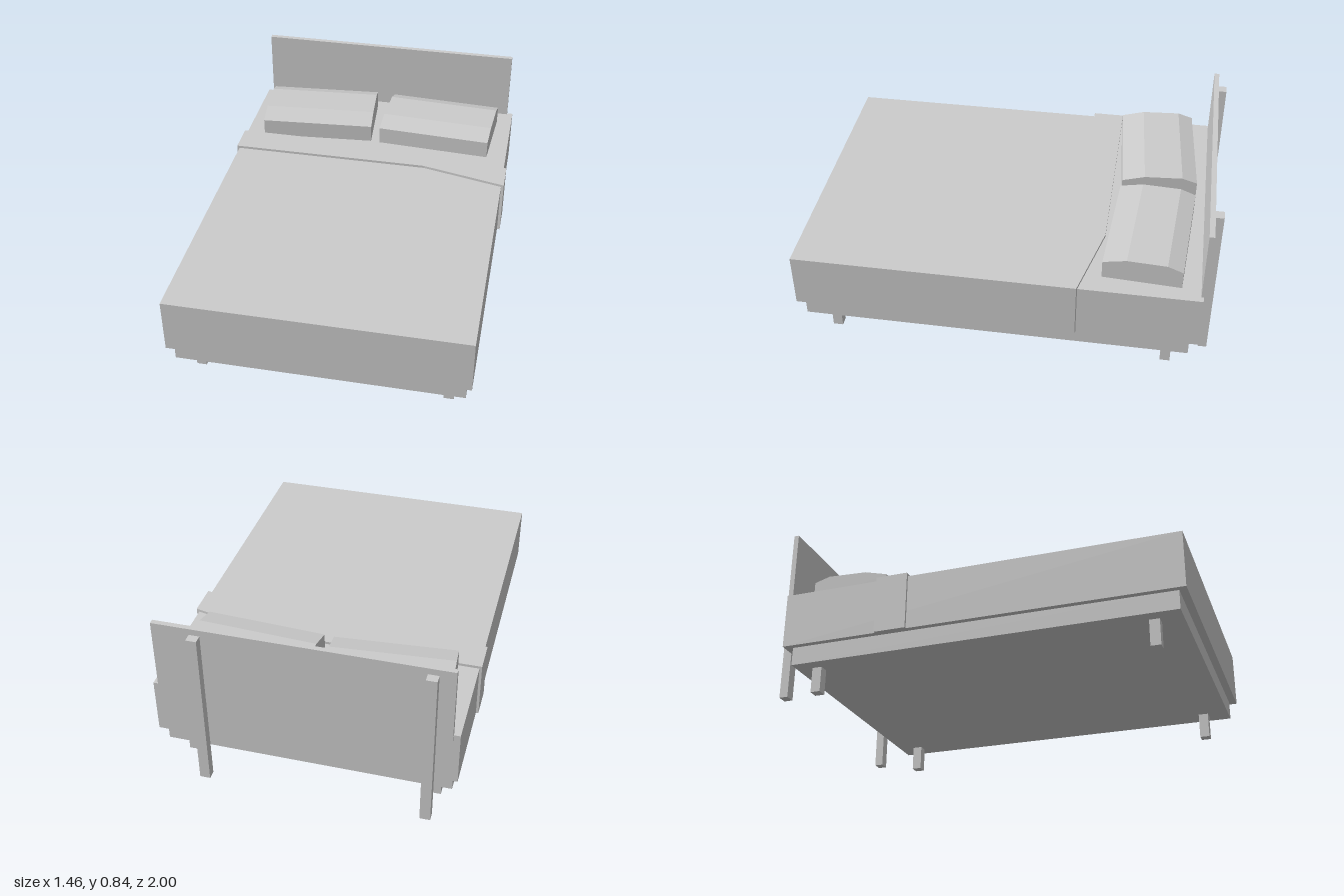
import * as THREE from 'three';

export function createModel() {
  const bed = new THREE.Group();
  bed.name = 'bed';
  const material = new THREE.MeshStandardMaterial({ color: 0xcccccc, flatShading: true });

  const add = (name, geometry) => {
    const mesh = new THREE.Mesh(geometry, material);
    mesh.name = name;
    bed.add(mesh);
    return mesh;
  };
  // Box given by its limits on each axis
  const addBox = (name, [x0, x1], [y0, y1], [z0, z1]) =>
    add(name, new THREE.BoxGeometry(x1 - x0, y1 - y0, z1 - z0))
      .position.set((x0 + x1) / 2, (y0 + y1) / 2, (z0 + z1) / 2);
  const outline = (points) => new THREE.Shape(points.map(([x, y]) => new THREE.Vector2(x, y)));

  // Base, mattress and headboard
  const baseBottom = 0.125, mattressBottom = 0.215, mattressTop = 0.487;
  addBox('base', [-0.69, 0.685], [baseBottom, mattressBottom], [-0.904, 0.964]);
  addBox('mattress', [-0.718, 0.712], [mattressBottom, mattressTop], [-0.944, 1]);
  addBox('headboard', [-0.687, 0.682], [0.46, 0.843], [-0.958, -0.933]);

  // Headboard posts
  for (const x of [-0.588, 0.478])
    addBox('headboardPost', [x - 0.025, x + 0.025], [0, 0.812], [-1, -0.957]);

  // Short legs
  for (const x of [-0.604, 0.6])
    for (const z of [-0.801, 0.837])
      addBox('leg', [x - 0.024, x + 0.024], [0, baseBottom], [z - 0.024, z + 0.024]);

  // Blanket fold: a band across the mattress with one end swept forward
  const band = outline([
    [-0.73, 0.305], [0.293, 0.305], [0.726, 0.205],
    [0.726, 0.365], [0.32, 0.462], [-0.73, 0.462],
  ]);
  const fold = new THREE.ExtrudeGeometry(band, { depth: 0.5 - mattressBottom, bevelEnabled: false });
  add('blanketFold', fold.rotateX(-Math.PI / 2)).position.y = mattressBottom;

  // Pillows: a faceted side profile drawn along the width
  const profile = outline([
    [-0.187, 0], [0.187, 0], [0.187, 0.09], [0.075, 0.116], [-0.113, 0.116], [-0.187, 0.09],
  ]);
  const width = 0.592;
  const pillow = new THREE.ExtrudeGeometry(profile, { depth: width, bevelEnabled: false })
    .translate(0, 0, -width / 2)
    .rotateY(-Math.PI / 2);
  for (const [name, x, turn] of [['rightPillow', -0.337, 0.076], ['leftPillow', 0.326, -0.06]]) {
    const mesh = add(name, pillow);
    mesh.position.set(x, mattressTop, -0.675);
    mesh.rotation.y = turn;
  }

  return bed;
}
